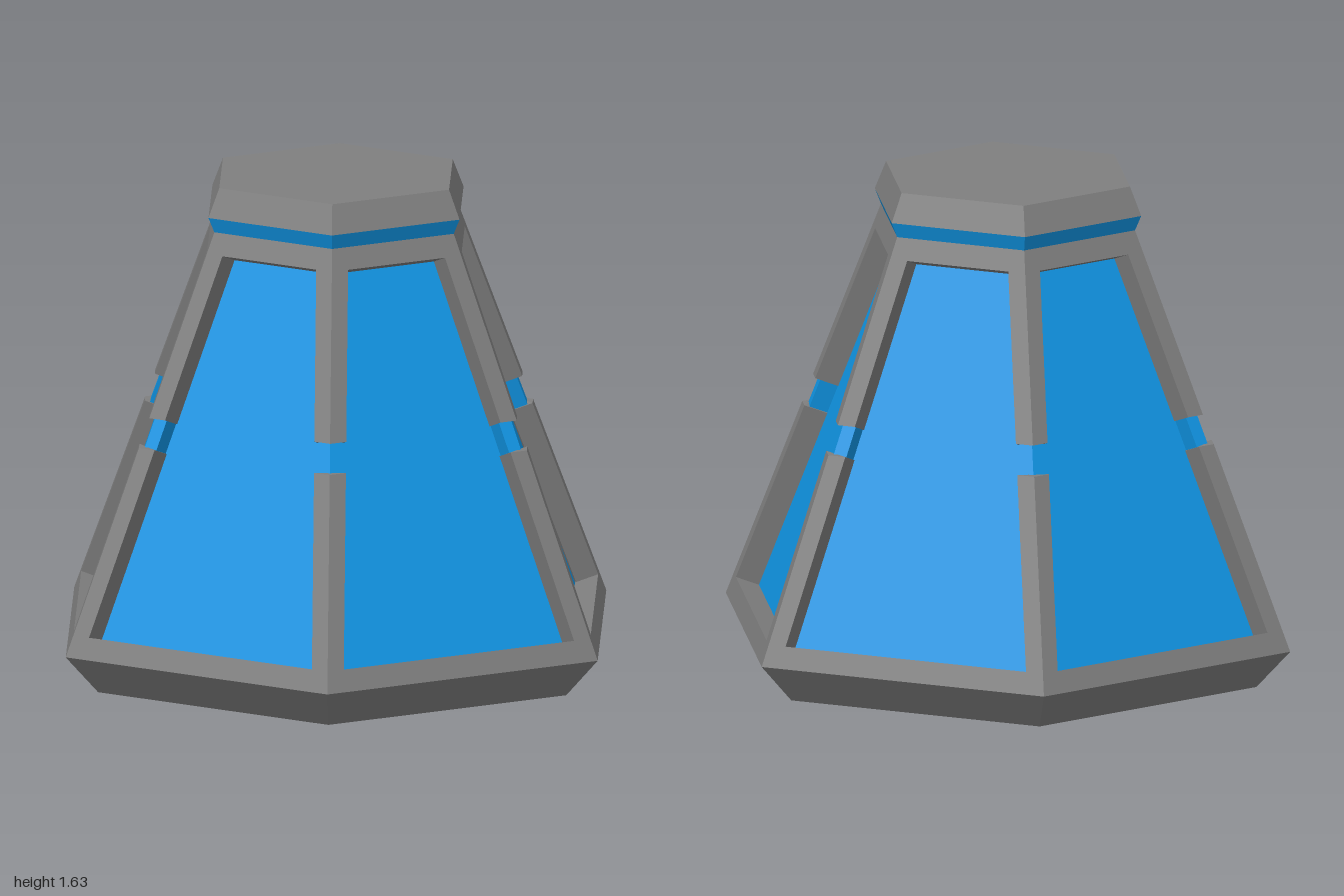
import * as THREE from 'three';

const SLOPE = 0.4044;                            // loss of corner radius per unit of height
const outerR = (y) => 1 - (y - 0.13) * SLOPE;    // corner radius of the frame
const coreR = (y) => 0.8846 - (y - 0.172) * SLOPE; // corner radius of the recessed glass
const BAR = 0.06;                                // bar width along each face
const C30 = Math.cos(Math.PI / 6);

function flat(geometry) {
  const g = geometry.index ? geometry.toNonIndexed() : geometry;
  g.computeVertexNormals();
  return g;
}

// Six-sided turned part with corners on the x axis
function hexTurned(profile) {
  const pts = profile.map(([r, y]) => new THREE.Vector2(r, y));
  return flat(new THREE.LatheGeometry(pts, 6, Math.PI / 6));
}

function fromTriangles(points) {
  const g = new THREE.BufferGeometry().setFromPoints(points);
  g.computeVertexNormals();
  return g;
}

// Cross-section of a corner bar, wrapping the corner that lies on +x
function barSection(y, recess, width) {
  const r = outerR(y) - recess;
  const side = (s) => new THREE.Vector3(r - 0.5 * width, y, s * C30 * width);
  const inner = (s) => side(s).add(new THREE.Vector3(-0.08 * C30, -0.03, -s * 0.04));
  return [side(1), new THREE.Vector3(r, y, 0), side(-1), inner(-1), inner(1)];
}

function barGeometry(y0, y1, recess = 0, width = BAR) {
  const a = barSection(y0, recess, width);
  const b = barSection(y1, recess, width);
  const tris = [];
  for (let i = 0; i < 5; i++) {
    const j = (i + 1) % 5;
    tris.push(a[i], a[j], b[j], a[i], b[j], b[i]);
  }
  for (let i = 1; i < 4; i++) tris.push(b[0], b[i], b[i + 1], a[0], a[i + 1], a[i]);
  return fromTriangles(tris);
}

// Thin strip lying on the glass; uLow and uHigh give the sideways limits at a height
function glassStrip(angle, y0, y1, uLow, uHigh) {
  const n = new THREE.Vector3(Math.cos(angle), 0, Math.sin(angle));
  const t = new THREE.Vector3(-n.z, 0, n.x);
  const at = (u, y) => new THREE.Vector3(0, y, 0)
    .addScaledVector(n, coreR(y) * C30 + 0.004).addScaledVector(t, u);
  const a = at(uHigh(y0), y0), b = at(uLow(y0), y0);
  const c = at(uLow(y1), y1), d = at(uHigh(y1), y1);
  return fromTriangles([a, b, c, a, c, d]);
}

export function createModel() {
  const group = new THREE.Group();
  const grey = new THREE.MeshStandardMaterial({ color: 0x7f7f7f });
  grey.name = 'grey metal';
  const blue = new THREE.MeshStandardMaterial({ color: 0x1096e6 });
  blue.name = 'blue glass';

  const add = (name, geometry, material, parent = group) => {
    const mesh = new THREE.Mesh(geometry, material);
    mesh.name = name;
    parent.add(mesh);
    return mesh;
  };

  // Base with the lower window ledge, glass core, upper rail, neck and cap
  add('base', hexTurned([[0, 0], [0.88, 0], [1, 0.13], [outerR(0.2), 0.2], [coreR(0.172), 0.172]]), grey);
  add('glassPanes', hexTurned([[coreR(0.15), 0.15], [coreR(1.41), 1.41]]), blue);
  add('upperRail', hexTurned([[coreR(1.392), 1.392], [outerR(1.42), 1.42], [0.45, 1.49]]), grey);
  add('neckBand', hexTurned([[0.45, 1.49], [0.472, 1.54]]), blue);
  add('cap', hexTurned([[0.472, 1.54], [0.432, 1.635], [0, 1.635]]), grey);

  // Corner bars, each broken by a recessed blue joint
  const lower = barGeometry(0.2, 0.8);
  const joint = barGeometry(0.78, 0.92, 0.022, BAR - 0.014);
  const upper = barGeometry(0.895, 1.42);
  for (let i = 0; i < 6; i++) {
    const corner = new THREE.Group();
    corner.name = 'cornerBar';
    corner.rotation.y = i * Math.PI / 3;
    add('lowerBar', lower, grey, corner);
    add('barJoint', joint, blue, corner);
    add('upperBar', upper, grey, corner);
    group.add(corner);
  }

  // Bare metal edge along the top and one side of a single pane
  const half = (y) => outerR(y + 0.028) / 2 - BAR;
  const face = -Math.PI / 6;
  add('paneTopEdge', glassStrip(face, 1.335, 1.395, (y) => -half(y), half), grey);
  add('paneSideEdge', glassStrip(face, 0.18, 1.335, (y) => -half(y), (y) => 0.034 - half(y)), grey);

  return group;
}
